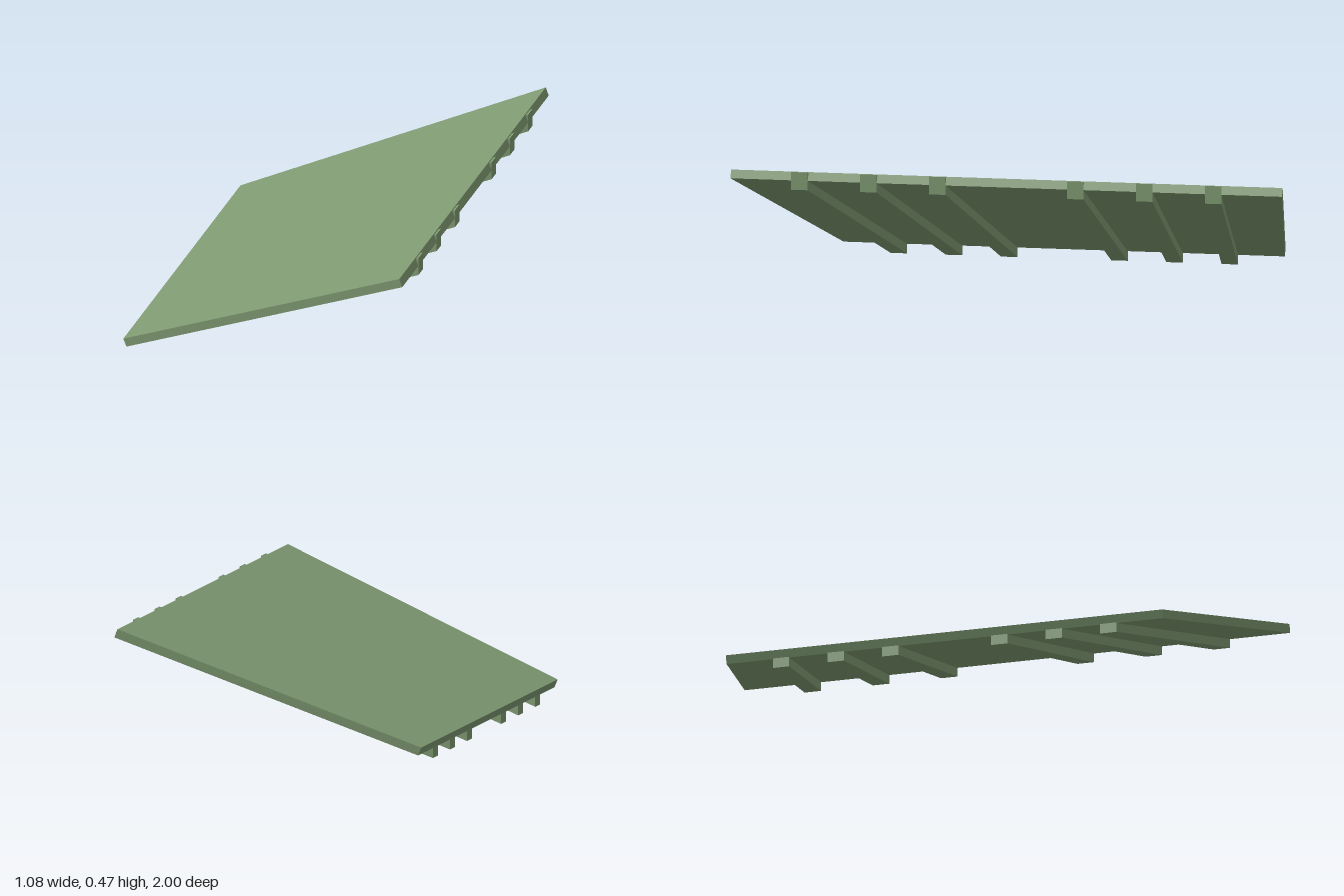
import * as THREE from 'three';

const material = new THREE.MeshStandardMaterial({ color: 0x7f9a72, flatShading: true });

// Sloped beam: a box whose corners move to a low end (-x) and a high end (+x).
// Each end gives [x, y] of its bottom and top edge, its centre z and its width.
function slopedBeam(name, low, high) {
  const geometry = new THREE.BoxGeometry(1, 1, 1);
  const p = geometry.attributes.position;
  for (let i = 0; i < p.count; i++) {
    const end = p.getX(i) < 0 ? low : high;
    const [x, y] = p.getY(i) < 0 ? end.bottom : end.top;
    p.setXYZ(i, x, y, end.z + p.getZ(i) * end.width);
  }
  geometry.computeVertexNormals();
  const mesh = new THREE.Mesh(geometry, material);
  mesh.name = name;
  return mesh;
}

export function createModel() {
  const group = new THREE.Group();
  group.name = 'slopedRoofPanel';

  // Panel, wider at its high edge, with ends square to the slope
  group.add(slopedBeam('panel',
    { bottom: [-0.529, 0.035], top: [-0.541, 0.064], z: 0, width: 1.6 },
    { bottom: [0.541, 0.439], top: [0.53, 0.469], z: 0, width: 2 }));

  // Rafters fan out towards the high edge and have plumb-cut ends
  for (const side of [-1, 1]) {
    for (let i = 1; i <= 3; i++) {
      group.add(slopedBeam('rafter',
        { bottom: [-0.53, 0], top: [-0.53, 0.064], z: side * 0.2 * i, width: 0.06 },
        { bottom: [0.541, 0.405], top: [0.541, 0.469], z: side * 0.25 * i, width: 0.06 }));
    }
  }
  return group;
}
